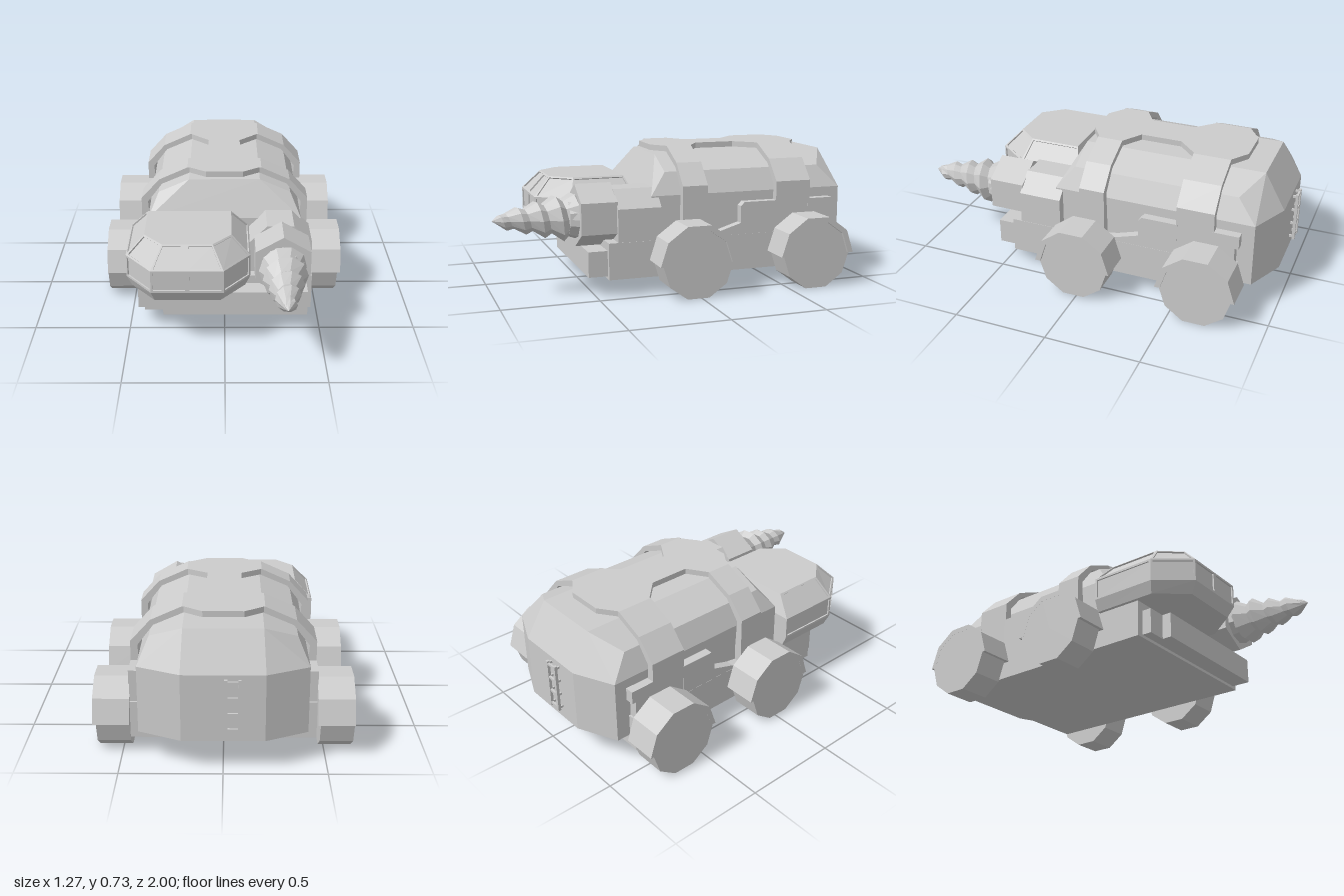
import * as THREE from 'three';
import { ConvexGeometry } from 'three/addons/geometries/ConvexGeometry.js';

const material = new THREE.MeshStandardMaterial({ color: 0xcccccc, flatShading: true });
const V = (x, y, z) => new THREE.Vector3(x, y, z);

function part(parent, name, geometry) {
  const mesh = new THREE.Mesh(geometry, material);
  mesh.name = name;
  parent.add(mesh);
  return mesh;
}

// Box from its limits on each axis
function box(parent, name, x0, x1, y0, y1, z0, z1) {
  const g = new THREE.BoxGeometry(x1 - x0, y1 - y0, z1 - z0);
  g.translate((x0 + x1) / 2, (y0 + y1) / 2, (z0 + z1) / 2);
  return part(parent, name, g);
}

function extrude(points, depth) {
  const shape = new THREE.Shape(points.map(([x, y]) => new THREE.Vector2(x, y)));
  return new THREE.ExtrudeGeometry(shape, { depth, bevelEnabled: false });
}

// Outline in (z, y) extruded from x0 to x1
const sideSlab = (points, x0, x1) =>
  extrude(points.map(([z, y]) => [-z, y]), x1 - x0).rotateY(Math.PI / 2).translate(x0, 0, 0);

function fromTriangles(tris) {
  const g = new THREE.BufferGeometry().setFromPoints(tris);
  g.computeVertexNormals();
  return g;
}

const quad = (out, a, b, c, d) => out.push(a, b, c, a, c, d);

// Quad with a flat rim and a sunken pane
function windowQuad(out, a, b, c, d, rim = 0.011, sink = 0.008) {
  const u = rim / a.distanceTo(b), v = rim / a.distanceTo(d);
  const at = (s, t) => a.clone().lerp(b, s).lerp(d.clone().lerp(c, s), t);
  const normal = b.clone().sub(a).cross(d.clone().sub(a)).normalize();
  const outer = [a, b, c, d];
  const inner = [at(u, v), at(1 - u, v), at(1 - u, 1 - v), at(u, 1 - v)];
  const pane = inner.map(p => p.clone().addScaledVector(normal, -sink));
  for (let i = 0; i < 4; i++) {
    const j = (i + 1) % 4;
    quad(out, outer[i], outer[j], inner[j], inner[i]);
    quad(out, inner[i], inner[j], pane[j], pane[i]);
  }
  quad(out, ...pane);
}

function cabinGeometry() {
  const ring = (y, pts) => pts.map(([x, z]) => V(x, y, z));
  const wide = [[-0.5, 0.2], [-0.5, 0.55], [-0.365, 0.725], [-0.185, 0.725], [-0.005, 0.725], [0.13, 0.55], [0.13, 0.2]];
  const low = [[-0.475, 0.2], [-0.475, 0.535], [-0.35, 0.69], [-0.185, 0.69], [-0.02, 0.69], [0.105, 0.535], [0.105, 0.2]];
  const roof = [[-0.405, 0.24], [-0.405, 0.52], [-0.31, 0.63], [-0.185, 0.63], [-0.06, 0.63], [0.035, 0.52], [0.035, 0.24]];
  const rings = [ring(0.28, low), ring(0.34, wide), ring(0.46, wide), ring(0.56, roof)];
  const out = [];
  for (let r = 0; r < 3; r++) {
    for (let i = 0; i < 7; i++) {
      const j = (i + 1) % 7;
      const corners = [rings[r][i], rings[r][j], rings[r + 1][j], rings[r + 1][i]];
      if (r > 0 && i < 6) windowQuad(out, ...corners);
      else quad(out, ...corners);
    }
  }
  for (let i = 1; i < 6; i++) {
    out.push(rings[3][0], rings[3][i], rings[3][i + 1]);
    out.push(rings[0][0], rings[0][i + 1], rings[0][i]);
  }
  return fromTriangles(out);
}

// Helical thread: a valley line and a ridge line winding to the tip
function drillGeometry() {
  const sides = 10, turns = 5, pitch = 0.095, start = 0.53;
  const point = (k, ridge) => {
    const z = Math.min(1, start + pitch * k / sides + (ridge ? 0.035 : 0));
    const r = Math.min(0.125, 0.125 - (z - 0.65) * 0.265, (1 - z) * 0.9) * (ridge ? 1 : 0.72);
    const a = k * 2 * Math.PI / sides;
    return V(r * Math.cos(a), r * Math.sin(a), z);
  };
  const out = [];
  for (let k = 0; k < sides * turns; k++) {
    quad(out, point(k, false), point(k + 1, false), point(k + 1, true), point(k, true));
    quad(out, point(k, true), point(k + 1, true), point(k + 1 + sides, false), point(k + sides, false));
  }
  return fromTriangles(out);
}

// Half ring of a ten-sided arch, with small flared feet
function fenderGeometry(width) {
  const arc = (r, a) => [r * Math.cos(a), r * Math.sin(a)];
  const outer = [], inner = [];
  for (let i = 0; i <= 5; i++) {
    outer.push(arc(0.207, i * Math.PI / 5));
    inner.unshift(arc(0.178, i * Math.PI / 5));
  }
  return sideSlab([...outer, ...inner], -width / 2, width / 2);
}

export function createModel() {
  const model = new THREE.Group();
  model.name = 'drillVehicle';

  // Chassis and stepped bumper
  box(model, 'chassis', -0.457, 0.457, 0.09, 0.28, -0.8, 0.44);
  box(model, 'bumper', -0.32, 0.43, 0.105, 0.237, 0.43, 0.54);
  box(model, 'bumperEnd', -0.42, -0.32, 0.105, 0.237, 0.43, 0.49);

  // Faceted hull
  const hull = [];
  for (const s of [-1, 1]) {
    hull.push(
      V(s * 0.19, 0.688, 0.11), V(s * 0.355, 0.615, 0.11), V(s * 0.41, 0.5, 0.2), V(s * 0.41, 0.16, 0.2),
      V(s * 0.19, 0.688, -0.86), V(s * 0.355, 0.615, -0.77), V(s * 0.41, 0.5, -0.875), V(s * 0.41, 0.16, -0.875),
      V(s * 0.2, 0.5, -0.97), V(s * 0.2, 0.16, -0.97));
  }
  part(model, 'hull', new ConvexGeometry(hull));

  // Roof plate, mirrored outline in (x, z)
  const half = [[0.1, -0.745], [0.2, -0.675], [0.2, -0.49], [0.09, -0.38], [0.09, -0.16], [0.2, -0.09], [0.2, 0.035], [0.1, 0.105]];
  const outline = [...half, ...half.map(([x, z]) => [-x, z]).reverse()].map(([x, z]) => [x, -z]);
  part(model, 'roofPlate', extrude(outline, 0.03).rotateX(-Math.PI / 2).translate(0, 0.7, 0));

  // Hull hoops, each with a left and a right arm
  const arm = [[0.19, 0.73], [0.2, 0.73], [0.355, 0.66], [0.455, 0.55], [0.455, 0.2], [0.4, 0.2], [0.42, 0.53], [0.34, 0.635], [0.19, 0.7]];
  for (const [name, z0, z1] of [['frontHoop', -0.092, 0.045], ['rearHoop', -0.68, -0.482]]) {
    for (const s of [-1, 1]) {
      const g = extrude(arm.map(([x, y]) => [s * x, y]), z1 - z0).translate(0, 0, z0);
      part(model, name, g);
    }
  }

  // Stepped side panels
  const midPanel = [[-0.08, 0.2], [-0.08, 0.29], [-0.15, 0.3], [-0.28, 0.34], [-0.28, 0.43], [-0.3, 0.45], [-0.49, 0.45], [-0.49, 0.2]];
  const rearPanel = [[-0.67, 0.2], [-0.67, 0.45], [-0.81, 0.45], [-0.81, 0.38], [-0.79, 0.38], [-0.79, 0.2]];
  for (const [x0, x1] of [[-0.456, -0.4], [0.4, 0.456]]) {
    part(model, 'sidePanel', sideSlab(midPanel, x0, x1));
    part(model, 'rearSidePanel', sideSlab(rearPanel, x0, x1));
  }

  // Wheels and fenders
  for (const z of [0.018, -0.643]) {
    for (const s of [-1, 1]) {
      const corner = new THREE.Group();
      corner.name = (z > 0 ? 'front' : 'rear') + (s > 0 ? 'Left' : 'Right') + 'Wheel';
      corner.position.set(0, 0.18, z);
      model.add(corner);
      const wheel = new THREE.CylinderGeometry(0.189, 0.189, 0.165, 10);
      wheel.rotateY(Math.PI / 2).rotateZ(Math.PI / 2).rotateX(Math.PI / 2);
      part(corner, 'wheel', wheel).position.x = s > 0 ? 0.538 : -0.557;
      part(corner, 'fender', fenderGeometry(0.18)).position.x = s > 0 ? 0.545 : -0.55;
    }
  }

  // Cabin
  part(model, 'cabin', cabinGeometry());

  // Drill with its mount, housing and collar
  const mount = [[0.13, 0.27], [0.455, 0.27], [0.455, 0.45], [0.36, 0.54], [0.22, 0.54], [0.13, 0.45]];
  part(model, 'drillMount', extrude(mount, 0.23).translate(0, 0, 0.16));
  const drill = new THREE.Group();
  drill.name = 'drill';
  drill.position.set(0.295, 0.4, 0);
  model.add(drill);
  const housing = new THREE.CylinderGeometry(0.162, 0.162, 0.19, 6).rotateX(Math.PI / 2);
  part(drill, 'drillHousing', housing).position.set(0, 0.005, 0.48);
  const collar = new THREE.CylinderGeometry(0.1, 0.12, 0.06, 10).rotateX(Math.PI / 2);
  part(drill, 'drillCollar', collar).position.z = 0.59;
  part(drill, 'drillBit', drillGeometry());

  // Rear ladder
  const ladder = new THREE.Group();
  ladder.name = 'ladder';
  model.add(ladder);
  for (const x of [-0.085, -0.02]) box(ladder, 'rail', x, x + 0.015, 0.215, 0.485, -1, -0.985);
  for (const y of [0.225, 0.305, 0.385, 0.465]) {
    box(ladder, 'rung', -0.08, -0.01, y, y + 0.012, -0.998, -0.987);
    for (const x of [-0.083, -0.018]) box(ladder, 'bracket', x, x + 0.011, y, y + 0.012, -0.99, -0.965);
  }
  return model;
}
